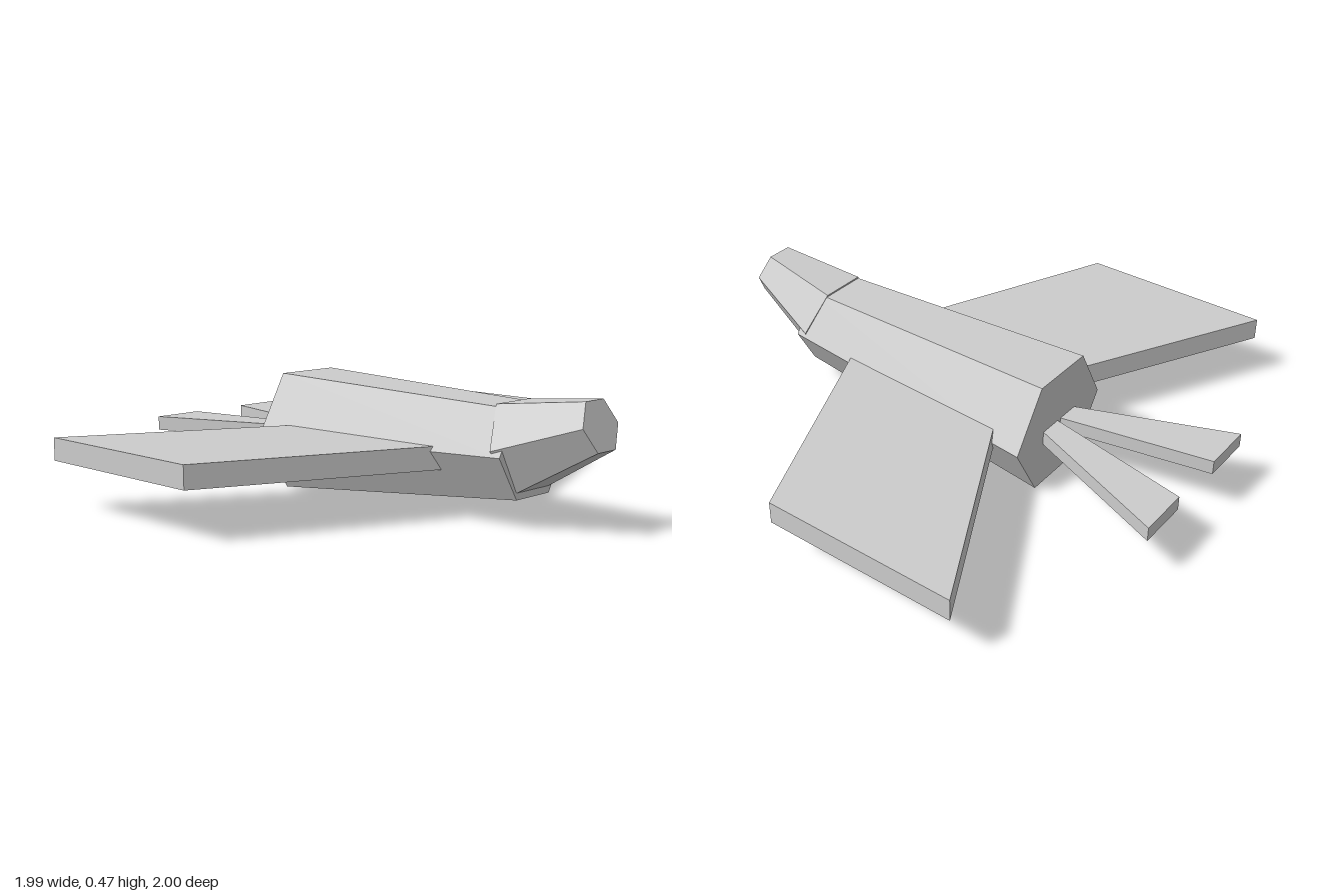
import * as THREE from 'three';

const HALF_PI = Math.PI / 2;

// Six-sided tapered section running from centre a to centre b (x, y)
function hexSection(name, material, a, b, radiusA, radiusB) {
  const dx = b[0] - a[0], dy = b[1] - a[1];
  const geometry = new THREE.CylinderGeometry(radiusB, radiusA, Math.hypot(dx, dy), 6).toNonIndexed();
  geometry.computeVertexNormals(); // faceted sides
  const mesh = new THREE.Mesh(geometry, material);
  mesh.name = name;
  mesh.rotation.z = Math.atan2(dy, dx) - HALF_PI;
  mesh.position.set((a[0] + b[0]) / 2, (a[1] + b[1]) / 2, 0);
  return mesh;
}

// Flat slab with an outline in (x, z), mirrored by side
function slab(name, material, outline, side, bottom, top) {
  const shape = new THREE.Shape(outline.map(([x, z]) => new THREE.Vector2(x, -z * side)));
  const geometry = new THREE.ExtrudeGeometry(shape, { depth: top - bottom, bevelEnabled: false });
  geometry.rotateX(-HALF_PI);
  const mesh = new THREE.Mesh(geometry, material);
  mesh.name = name;
  mesh.position.y = bottom;
  return mesh;
}

export function createModel() {
  const model = new THREE.Group();
  model.name = 'bird';
  const grey = new THREE.MeshStandardMaterial({ color: 0xcccccc });
  grey.name = 'light grey';

  // Body and upturned head, pointing along +x
  model.add(hexSection('body', grey, [-0.433, 0.23], [0.687, 0.267], 0.26, 0.18));
  model.add(hexSection('head', grey, [0.645, 0.285], [0.965, 0.388], 0.18, 0.1));

  // Swept wings and splayed tail feathers, roots buried in the body
  const wing = [[0.44, 0.1], [0.045, 1], [-0.71, 1], [-0.237, 0.1]];
  const feather = [[-0.4, 0.003], [-0.4, 0.086], [-1, 0.32], [-1, 0.12]];
  for (const side of [1, -1]) {
    const label = side > 0 ? 'front' : 'back';
    model.add(slab(label + 'Wing', grey, wing, side, 0.19, 0.275));
    model.add(slab(label + 'TailFeather', grey, feather, side, 0.19, 0.245));
  }
  return model;
}
